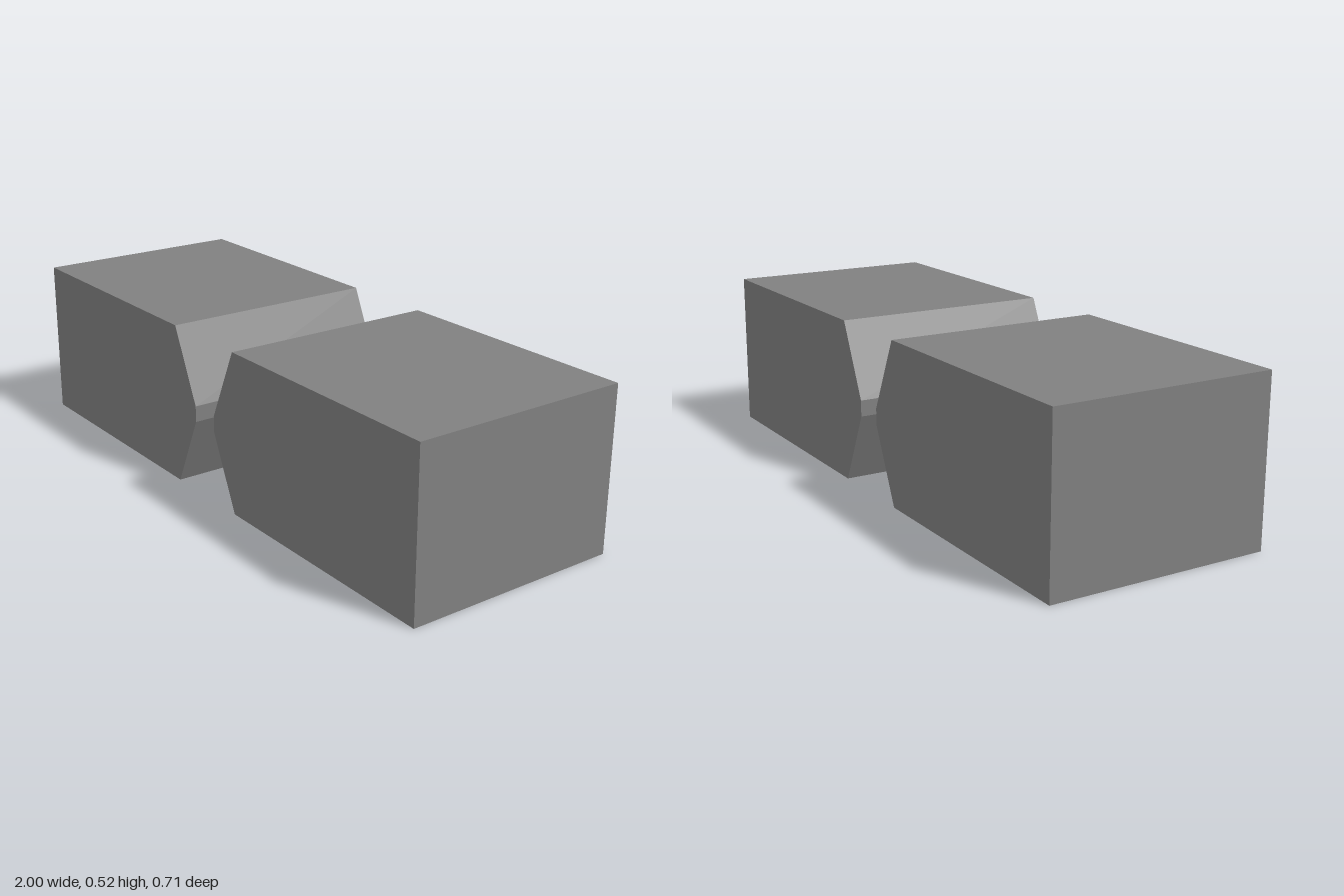
import * as THREE from 'three';

const HEIGHT = 0.524, DEPTH = 0.714;

// Block profile: square outer end, double bevel down to a narrow flat nose
function blockProfile(side) {
  const points = [
    [1, 0], [1, HEIGHT], [0.16, HEIGHT],
    [0.052, 0.288], [0.052, 0.236], [0.16, 0],
  ].map(([x, y]) => new THREE.Vector2(side * x, y));
  return new THREE.Shape(points);
}

export function createModel() {
  const group = new THREE.Group();
  group.name = 'beveledPlates';
  const steel = new THREE.MeshStandardMaterial({ color: 0x808080 });
  steel.name = 'steelGrey';

  // Two mirrored blocks facing each other across the gap
  for (const [name, side] of [['leftBlock', 1], ['rightBlock', -1]]) {
    const geometry = new THREE.ExtrudeGeometry(blockProfile(side), { depth: DEPTH, bevelEnabled: false });
    geometry.translate(0, 0, -DEPTH / 2);
    const block = new THREE.Mesh(geometry, steel);
    block.name = name;
    group.add(block);
  }
  return group;
}
